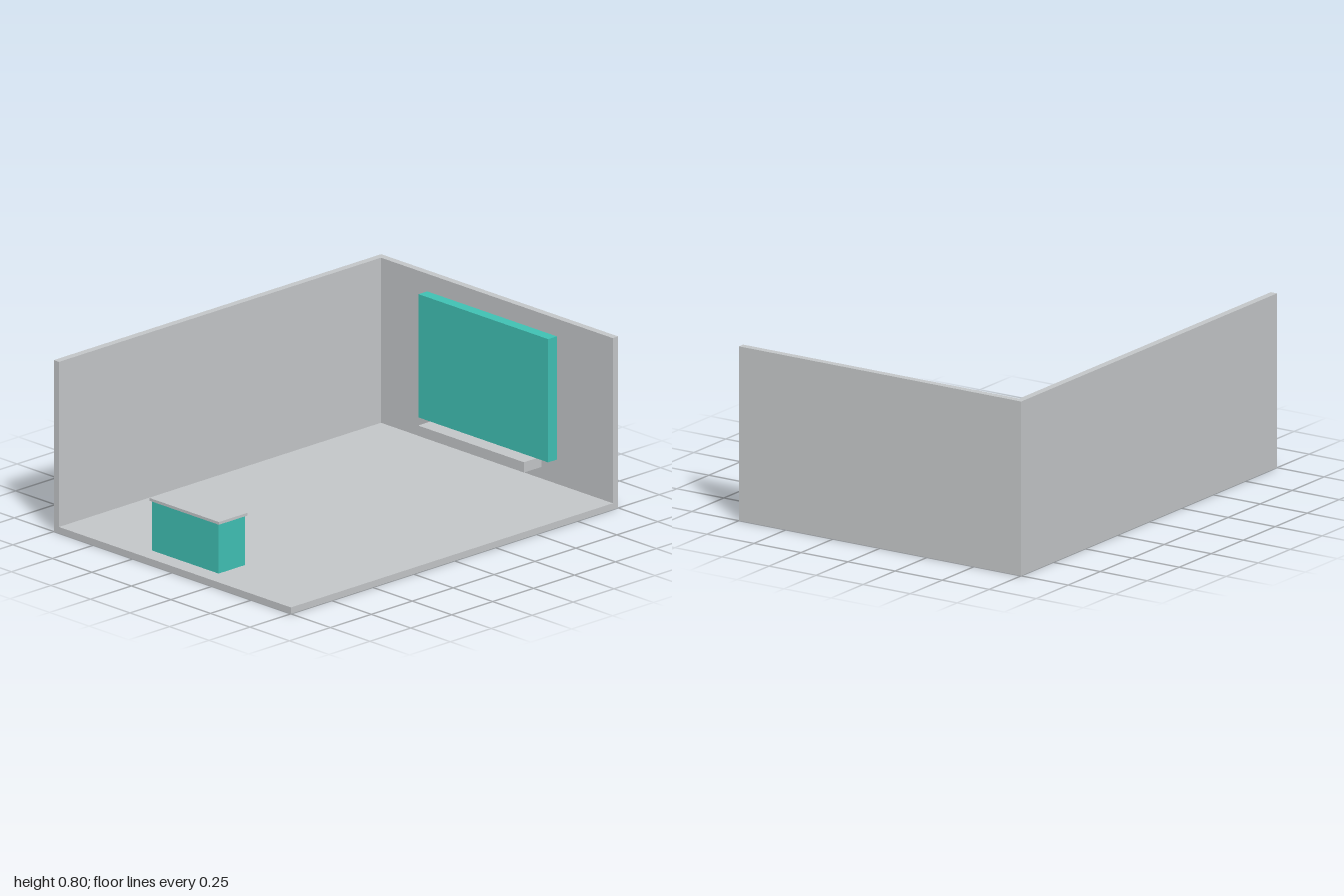
import * as THREE from 'three';

export function createModel() {
  const model = new THREE.Group();
  model.name = 'exhibitionBooth';

  const grey = new THREE.MeshStandardMaterial({ color: 0xc3c6c8 });
  grey.name = 'light grey';
  const teal = new THREE.MeshStandardMaterial({ color: 0x40c0b3 });
  teal.name = 'teal';

  // Box given by its extents on each axis
  function box(name, material, [x0, x1], [y0, y1], [z0, z1], parent = model) {
    const mesh = new THREE.Mesh(new THREE.BoxGeometry(x1 - x0, y1 - y0, z1 - z0), material);
    mesh.position.set((x0 + x1) / 2, (y0 + y1) / 2, (z0 + z1) / 2);
    mesh.name = name;
    parent.add(mesh);
  }

  // Floor slab and the two walls, butted together
  box('floor', grey, [-0.717, 0.75], [0, 0.03], [-0.967, 1]);
  box('sideWall', grey, [-0.75, -0.717], [0, 0.8], [-0.967, 1]);
  box('backWall', grey, [-0.75, 0.75], [0, 0.8], [-1, -0.967]);

  // Display panel in front of the back wall, with the shelf beneath it
  const display = new THREE.Group();
  display.name = 'display';
  model.add(display);
  box('displayPanel', teal, [-0.41, 0.41], [0.15, 0.725], [-0.953, -0.9], display);
  box('displayShelf', grey, [-0.335, 0.335], [0.102, 0.15], [-0.932, -0.825], display);

  // Reception counter near the front edge
  const counter = new THREE.Group();
  counter.name = 'counter';
  model.add(counter);
  box('counterBase', teal, [-0.21, 0.21], [0.03, 0.262], [0.76, 0.92], counter);
  box('counterTop', grey, [-0.22, 0.22], [0.262, 0.275], [0.752, 0.928], counter);

  return model;
}
